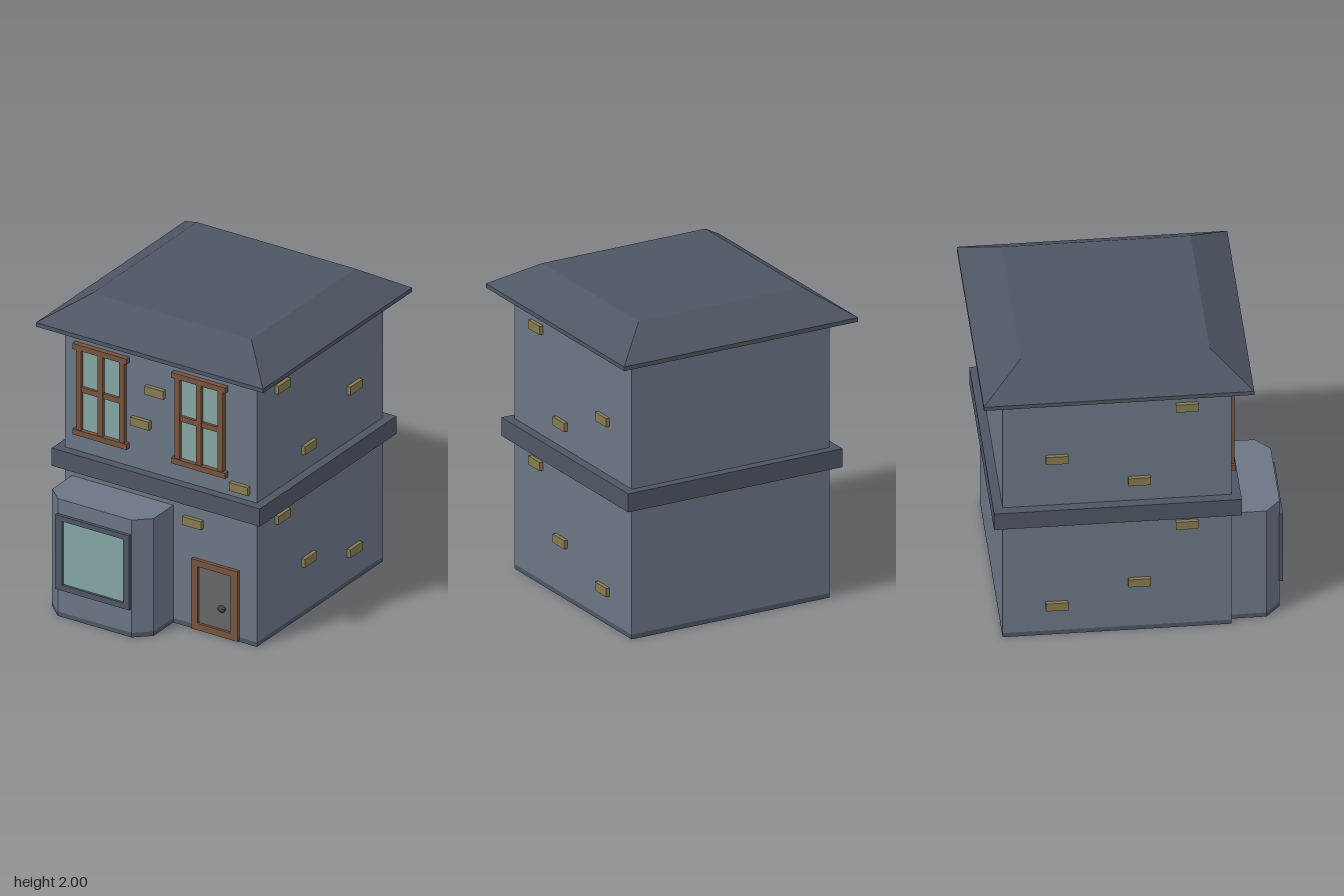
import * as THREE from 'three';

const material = (color) => new THREE.MeshStandardMaterial({ color, flatShading: true });

export function createModel() {
  const house = new THREE.Group();
  house.name = 'house';
  const wall = material(0x6b7585);
  const trim = material(0x4e5563);
  const wood = material(0x75533e);
  const glass = material(0x84a5a3);
  const brick = material(0x857a50);
  const doorGrey = material(0x666666);
  const knobDark = material(0x453c48);

  const add = (name, geometry, mat, parent = house) => {
    const mesh = new THREE.Mesh(geometry, mat);
    mesh.name = name;
    parent.add(mesh);
    return mesh;
  };
  // Box given by its lower and upper bounds on each axis
  const box = (name, mat, [x0, x1], [y0, y1], [z0, z1], parent) => {
    const mesh = add(name, new THREE.BoxGeometry(x1 - x0, y1 - y0, z1 - z0), mat, parent);
    mesh.position.set((x0 + x1) / 2, (y0 + y1) / 2, (z0 + z1) / 2);
    return mesh;
  };
  // Rectangular frame with an opening, standing in the xy plane
  const frame = (name, mat, [x0, x1, y0, y1], [a0, a1, b0, b1], [z0, z1], parent) => {
    const rect = (l, r, b, t) => [[l, b], [r, b], [r, t], [l, t]].map(([x, y]) => new THREE.Vector2(x, y));
    const shape = new THREE.Shape(rect(x0, x1, y0, y1));
    shape.holes.push(new THREE.Path(rect(a0, a1, b0, b1)));
    const geo = new THREE.ExtrudeGeometry(shape, { depth: z1 - z0, bevelEnabled: false });
    return add(name, geo.translate(0, 0, z0), mat, parent);
  };

  const midZ = -0.101, front = 0.596;

  // Walls, plinth and belt course
  box('plinth', trim, [-0.696, 0.696], [0, 0.03], [-0.798, front]);
  box('walls', wall, [-0.696, 0.696], [0.03, 1.81], [-0.798, front]);
  box('beltCourse', trim, [-0.755, 0.755], [0.855, 0.975], [midZ - 0.755, midZ + 0.755]);

  // Hipped roof: eave slab, then a four-sided frustum with a flat top
  box('eave', trim, [-0.824, 0.824], [1.808, 1.835], [midZ - 0.824, midZ + 0.824]);
  const roof = new THREE.CylinderGeometry(0.575 * Math.SQRT2, 0.824 * Math.SQRT2, 0.165, 4);
  roof.rotateY(Math.PI / 4);
  add('roof', roof, trim).position.set(0, 1.9175, midZ);

  // Bay with chamfered front corners
  const plan = new THREE.Shape([
    [-0.645, -0.55], [-0.645, -0.815], [-0.545, -0.905], [-0.01, -0.905], [0.09, -0.815], [0.09, -0.55],
  ].map(([x, y]) => new THREE.Vector2(x, y)));
  const bayPart = (name, mat, y0, y1) => {
    const geo = new THREE.ExtrudeGeometry(plan, { depth: y1 - y0, bevelEnabled: false });
    add(name, geo.rotateX(-Math.PI / 2).translate(0, y0, 0), mat);
  };
  bayPart('bayPlinth', trim, 0, 0.03);
  bayPart('bay', wall, 0.03, 0.795);
  frame('bayWindowFrame', trim, [-0.55, -0.015, 0.19, 0.695], [-0.5, -0.058, 0.228, 0.66], [0.9, 0.926]);
  box('bayWindowGlass', glass, [-0.51, -0.05], [0.22, 0.67], [0.89, 0.91]);

  // Upper windows
  for (const cx of [-0.423, 0.292]) {
    const win = new THREE.Group();
    win.name = 'upperWindow';
    win.position.x = cx;
    house.add(win);
    box('glass', glass, [-0.15, 0.15], [1.12, 1.69], [0.58, 0.602], win);
    for (const x of [-0.156, 0, 0.156]) {
      box('windowUpright', wood, [x - 0.019, x + 0.019], [1.12, 1.69], [0.58, 0.625], win);
    }
    box('windowCrossbar', wood, [-0.15, 0.15], [1.39, 1.425], [0.58, 0.62], win);
    for (const y of [1.096, 1.675]) {
      box('windowSill', wood, [-0.196, 0.196], [y, y + 0.037], [0.58, 0.631], win);
    }
  }

  // Door
  frame('doorFrame', wood, [0.235, 0.57, 0.01, 0.483], [0.28, 0.522, 0.055, 0.44], [0.58, 0.62]);
  box('doorPanel', doorGrey, [0.27, 0.53], [0.05, 0.45], [0.58, 0.603]);
  const knobGeo = new THREE.SphereGeometry(0.026, 12, 8).scale(1, 0.88, 0.8);
  add('doorKnob', knobGeo, knobDark).position.set(0.452, 0.197, 0.613);

  // Scattered bricks on the front
  for (const [x, y] of [[-0.033, 1.533], [-0.138, 1.295], [0.58, 1.048], [0.24, 0.724]]) {
    box('frontBrick', brick, [x - 0.068, x + 0.068], [y - 0.028, y + 0.028], [0.57, 0.624]);
  }
  // Scattered bricks mirrored on both sides
  const sideBricks = [[0.325, 1.66], [0.035, 1.127], [-0.468, 1.323], [0.325, 0.777], [0.035, 0.365], [-0.468, 0.22]];
  for (const side of [-1, 1]) {
    for (const [z, y] of sideBricks) {
      const x = side * 0.695;
      box('sideBrick', brick, [x - 0.026, x + 0.026], [y - 0.028, y + 0.028], [z - 0.068, z + 0.068]);
    }
  }
  return house;
}
